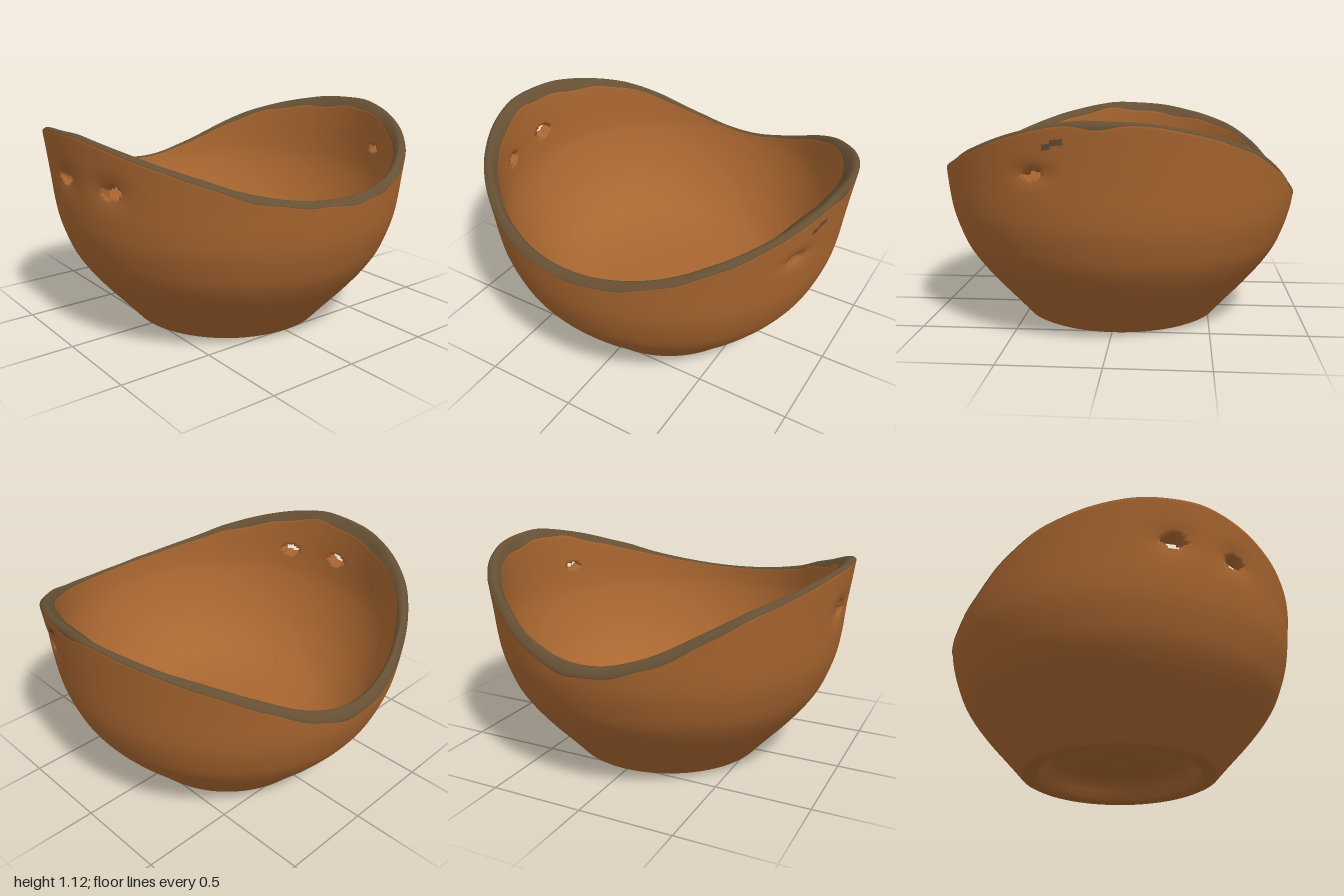
import * as THREE from 'three';

const SEGMENTS = 300; // columns around the bowl
const WALL_ROWS = 56; // rows up each side of the wall
const WALL_BASE = 0.3; // height where the fixed lower profile ends
const CENTRE_Z = -0.01; // the bowl sits slightly back

// Tables of [x, value], joined by a smooth cubic
const RIM_HEIGHT = [ // by cosine of the angle from the front
  [-1, 0.715], [-0.95, 0.775], [-0.81, 0.905], [-0.63, 1.003], [-0.28, 1.092], [0, 1.115],
  [0.16, 1.112], [0.44, 1.055], [0.72, 0.96], [0.84, 0.9], [1, 0.825],
];
const OUTER_RADIUS = [ // by height
  [0.2, 0.707], [0.3, 0.79], [0.4, 0.857], [0.5, 0.9], [0.6, 0.931], [0.7, 0.948], [0.8, 0.959], [0.95, 0.977], [1.12, 0.999],
];
const INNER_RADIUS = [
  [0.25, 0.605], [0.3, 0.668], [0.4, 0.755], [0.5, 0.815], [0.6, 0.86], [0.7, 0.891], [0.8, 0.904], [0.95, 0.912], [1.12, 0.922],
];
// Foot, from the centre of the hollow base outward and up: [radius, height]
const FOOT = [
  [0, 0.075], [0.03, 0.077], [0.08, 0.095], [0.15, 0.09], [0.21, 0.07], [0.25, 0.07], [0.28, 0.09],
  [0.33, 0.1], [0.38, 0.09], [0.41, 0.05], [0.43, 0.015], [0.445, 0.003], [0.46, 0], [0.515, 0],
  [0.535, 0.01], [0.57, 0.05], [0.615, 0.1], [0.661, 0.15], [0.707, 0.2], [0.75, 0.25],
];
// Inside floor, from the wall to the centre
const FLOOR = [[0.64, 0.275], [0.6, 0.247], [0.54, 0.215], [0.46, 0.188], [0.34, 0.168], [0.18, 0.157], [0, 0.154]];

// Ellipses on the wall: angle from the front, height, half width and half height
const ellipse = (degrees, y, a, b) => ({ angle: THREE.MathUtils.degToRad(degrees), y, a, b });
// Cord holes: one on the left side, a pair on the right side
const HOLES = [
  ellipse(69.5, 0.87, 0.052, 0.025), ellipse(268, 0.885, 0.064, 0.042), ellipse(289, 0.865, 0.06, 0.04),
];
// Drip of rim colour on the left side
const DRIPS = [ellipse(74.3, 0.998, 0.028, 0.014), ellipse(77.3, 1.02, 0.032, 0.015)];

function smooth(table, x) {
  const last = table.length - 1;
  let i = 0;
  while (i < last - 1 && x > table[i + 1][0]) i++;
  const slope = (k) => {
    const p = table[Math.max(k - 1, 0)], q = table[Math.min(k + 1, last)];
    return (q[1] - p[1]) / (q[0] - p[0]);
  };
  const [x0, y0] = table[i], [x1, y1] = table[i + 1];
  const w = x1 - x0, t = THREE.MathUtils.clamp((x - x0) / w, 0, 1);
  const t2 = t * t, t3 = t2 * t;
  return y0 * (2 * t3 - 3 * t2 + 1) + slope(i) * w * (t3 - 2 * t2 + t)
    + y1 * (3 * t2 - 2 * t3) + slope(i + 1) * w * (t3 - t2);
}

// Below 1 inside one of the ellipses
function distanceTo(ellipses, angle, y) {
  return Math.min(...ellipses.map((e) =>
    ((angle - e.angle) * 0.95 / e.a) ** 2 + ((y - e.y) / e.b) ** 2));
}

export function createModel() {
  const clay = new THREE.MeshStandardMaterial({ color: 0xa96630 });
  clay.name = 'terracotta clay';
  const glaze = new THREE.MeshStandardMaterial({ color: 0x665034 });
  glaze.name = 'grey brown rim';

  // Each row gives [radius, height] for an angle
  const rows = [];
  const lerp = THREE.MathUtils.lerp;
  const rimAt = (a) => smooth(RIM_HEIGHT, Math.cos(a));
  // The lip slopes outward at front and back, and inward at the sides
  const outerDrop = (a) => 0.012 + 0.03 * Math.exp(-(((a - 1.53) / 0.1) ** 2))
    + Math.cos(a) ** 2 * (0.03 - 0.012 * Math.cos(a) + 0.004 * Math.sin(9 * a) + 0.004 * Math.sin(23 * a + 1));
  const innerDrop = (a) => 0.01
    + Math.sin(a) ** 2 * (0.04 + 0.01 * Math.sin(7 * a + 2) + 0.006 * Math.sin(19 * a));
  const outerTop = (a) => rimAt(a) - outerDrop(a);
  const innerTop = (a) => rimAt(a) - innerDrop(a);

  FOOT.forEach((p) => rows.push(() => p));
  const outerStart = rows.length;
  for (let k = 0; k <= WALL_ROWS; k++) {
    rows.push((a) => {
      const y = lerp(WALL_BASE, outerTop(a), k / WALL_ROWS);
      const dent = 0.018 * Math.exp(-distanceTo(HOLES, a, y) / 3); // clay pressed in at the holes
      return [smooth(OUTER_RADIUS, y) - dent, y];
    });
  }
  const rimStart = rows.length - 1;
  // Rounded lip
  [0.08, 0.25, 0.4, 0.55, 0.7, 0.82, 0.94].forEach((t) => {
    rows.push((a) => {
      const h = rimAt(a), peak = lerp(0.28, 0.8, Math.cos(a) ** 2);
      const drop = t < peak
        ? outerDrop(a) * ((peak - t) / peak) ** 1.5
        : innerDrop(a) * ((t - peak) / (1 - peak)) ** 1.5;
      return [lerp(smooth(OUTER_RADIUS, h), smooth(INNER_RADIUS, h), t), h - drop];
    });
  });
  const innerStart = rows.length;
  for (let k = WALL_ROWS; k >= 0; k--) {
    rows.push((a) => {
      const y = lerp(WALL_BASE, innerTop(a), k / WALL_ROWS);
      return [smooth(INNER_RADIUS, y), y];
    });
  }
  FLOOR.forEach((p) => rows.push(() => p));

  const positions = [];
  const angleOf = (j) => (j / SEGMENTS) * Math.PI * 2;
  rows.forEach((row) => {
    for (let j = 0; j < SEGMENTS; j++) {
      const a = angleOf(j), [r, y] = row(a);
      positions.push(r * Math.sin(a), y, r * Math.cos(a) + CENTRE_Z);
    }
  });

  // Wall cells that fall inside an ellipse
  const isInside = (ellipses, k, j) => {
    if (k < 0 || k >= WALL_ROWS) return false;
    const a = angleOf(j + 0.5);
    return distanceTo(ellipses, a, lerp(WALL_BASE, outerTop(a), (k + 0.5) / WALL_ROWS)) < 1;
  };
  const isHole = (k, j) => isInside(HOLES, k, j);
  const id = (i, j) => i * SEGMENTS + ((j + SEGMENTS) % SEGMENTS);
  const quad = (list, a, b, c, d) => list.push(a, b, c, a, c, d);
  const outer = [], rim = [], inner = [], tunnels = [], drips = [];
  for (let i = 0; i < rows.length - 1; i++) {
    const part = i < rimStart ? outer : i < innerStart ? rim : inner;
    const k = i < rimStart ? i - outerStart : innerStart + WALL_ROWS - 1 - i;
    for (let j = 0; j < SEGMENTS; j++) {
      if (part !== rim && isHole(k, j)) continue;
      const list = part === outer && isInside(DRIPS, k, j) ? drips : part;
      quad(list, id(i, j), id(i, j + 1), id(i + 1, j + 1), id(i + 1, j));
    }
  }

  // Hole sides join the outer wall to the inner wall
  const out = (k, j) => id(outerStart + k, j);
  const inn = (k, j) => id(innerStart + WALL_ROWS - k, j);
  const side = (k0, j0, k1, j1) => quad(tunnels, out(k0, j0), out(k1, j1), inn(k1, j1), inn(k0, j0));
  for (let k = 0; k < WALL_ROWS; k++) {
    for (let j = 0; j < SEGMENTS; j++) {
      if (!isHole(k, j)) continue;
      if (!isHole(k - 1, j)) side(k, j, k, j + 1);
      if (!isHole(k, j + 1)) side(k, j + 1, k + 1, j + 1);
      if (!isHole(k + 1, j)) side(k + 1, j + 1, k + 1, j);
      if (!isHole(k, j - 1)) side(k + 1, j, k, j);
    }
  }

  // Shared normals keep the clay smooth from part to part
  const whole = new THREE.BufferGeometry();
  whole.setAttribute('position', new THREE.Float32BufferAttribute(positions, 3));
  whole.setIndex([...outer, ...drips, ...rim, ...inner, ...tunnels]);
  whole.computeVertexNormals();

  const model = new THREE.Group();
  model.name = 'bowl';
  const addPart = (name, index, material) => {
    const geometry = new THREE.BufferGeometry();
    geometry.setAttribute('position', whole.getAttribute('position'));
    geometry.setAttribute('normal', whole.getAttribute('normal'));
    geometry.setIndex(index);
    const mesh = new THREE.Mesh(geometry, material);
    mesh.name = name;
    model.add(mesh);
  };
  addPart('outerWallAndFoot', outer, clay);
  addPart('rim', rim, glaze);
  addPart('rimDrip', drips, glaze);
  addPart('innerWallAndFloor', inner, clay);
  addPart('cordHoles', tunnels, clay);
  return model;
}
